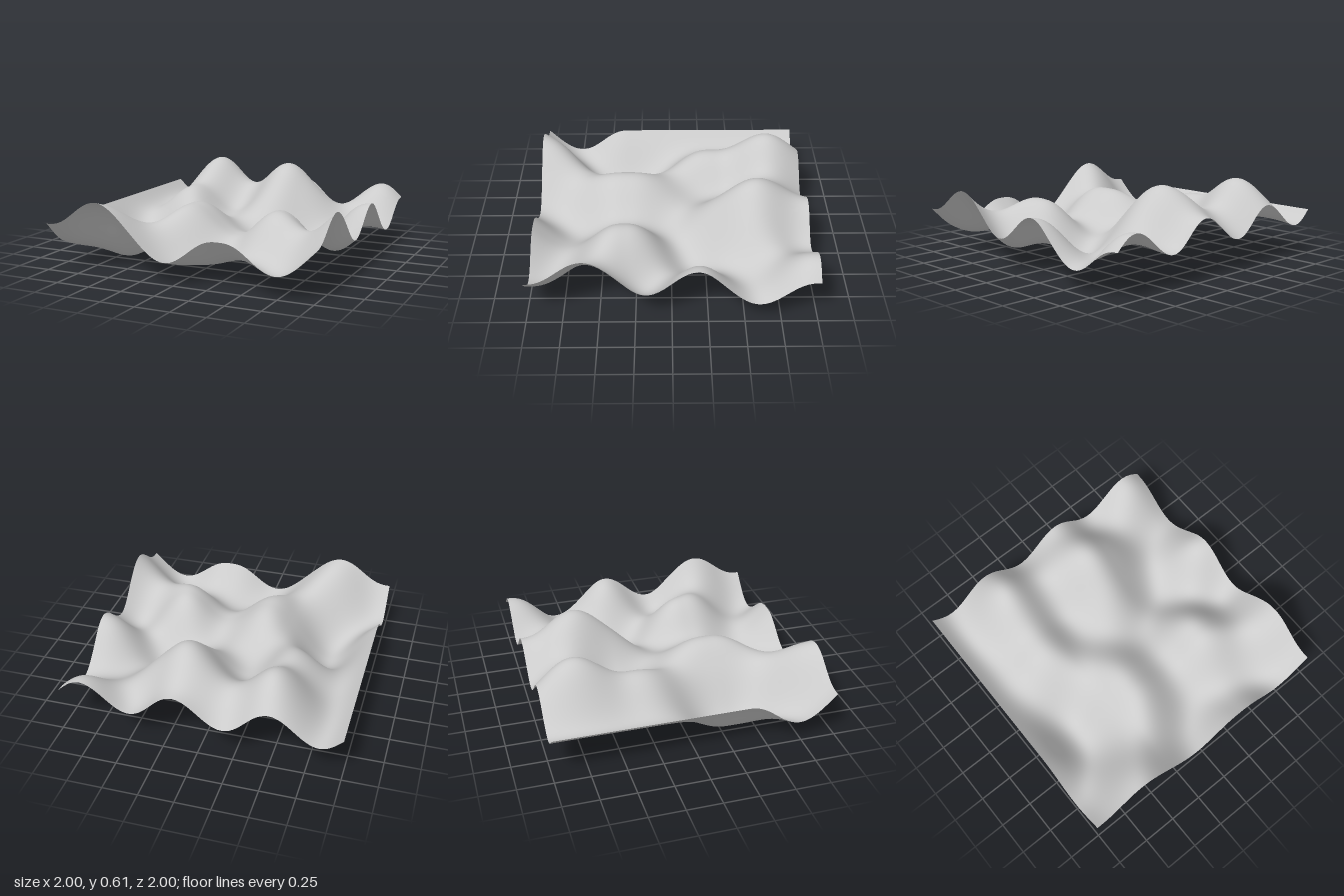
import * as THREE from 'three';

// Lattice gradients [gx, gz]: rows run back to front, columns run -x to +x
const GRADIENTS = [
  [[-1, 0], [-1, 1], [-1, 0], [-1, 0]],
  [[-1, 0], [-1, 0], [-1, -1], [0, 1]],
  [[-1, 0], [1, 0], [1, 0], [1, 1]],
  [[0, 1], [-1, 0], [0, 1], [1, 0]],
];
const CELLS = 3;
const CELL = 2 / CELLS;
const SEGMENTS = 96;

const fade = (t) => t * t * t * (t * (t * 6 - 15) + 10);
const { lerp, clamp } = THREE.MathUtils;

// Gradient noise: each lattice corner is a tilted plane, blended smoothly across the cell
function height(x, z) {
  const u = clamp((x + 1) / CELL, 0, CELLS);
  const v = clamp((z + 1) / CELL, 0, CELLS);
  const i = Math.min(Math.floor(u), CELLS - 1);
  const j = Math.min(Math.floor(v), CELLS - 1);
  const corner = (a, b) => {
    const [gx, gz] = GRADIENTS[j + b][i + a];
    return gx * (u - i - a) + gz * (v - j - b);
  };
  const fu = fade(u - i);
  const back = lerp(corner(0, 0), corner(1, 0), fu);
  const front = lerp(corner(0, 1), corner(1, 1), fu);
  return CELL * (0.5 + lerp(back, front, fade(v - j)));
}

export function createModel() {
  const group = new THREE.Group();
  group.name = 'terrain';

  // Flat sheet lifted into rolling hills and hollows
  const geometry = new THREE.PlaneGeometry(2, 2, SEGMENTS, SEGMENTS).rotateX(-Math.PI / 2);
  const p = geometry.attributes.position;
  for (let k = 0; k < p.count; k++) p.setY(k, height(p.getX(k), p.getZ(k)));
  geometry.computeVertexNormals();

  const surface = new THREE.Mesh(
    geometry,
    new THREE.MeshStandardMaterial({ color: 0xcccccc, side: THREE.DoubleSide })
  );
  surface.name = 'wavySurface';
  group.add(surface);
  return group;
}
